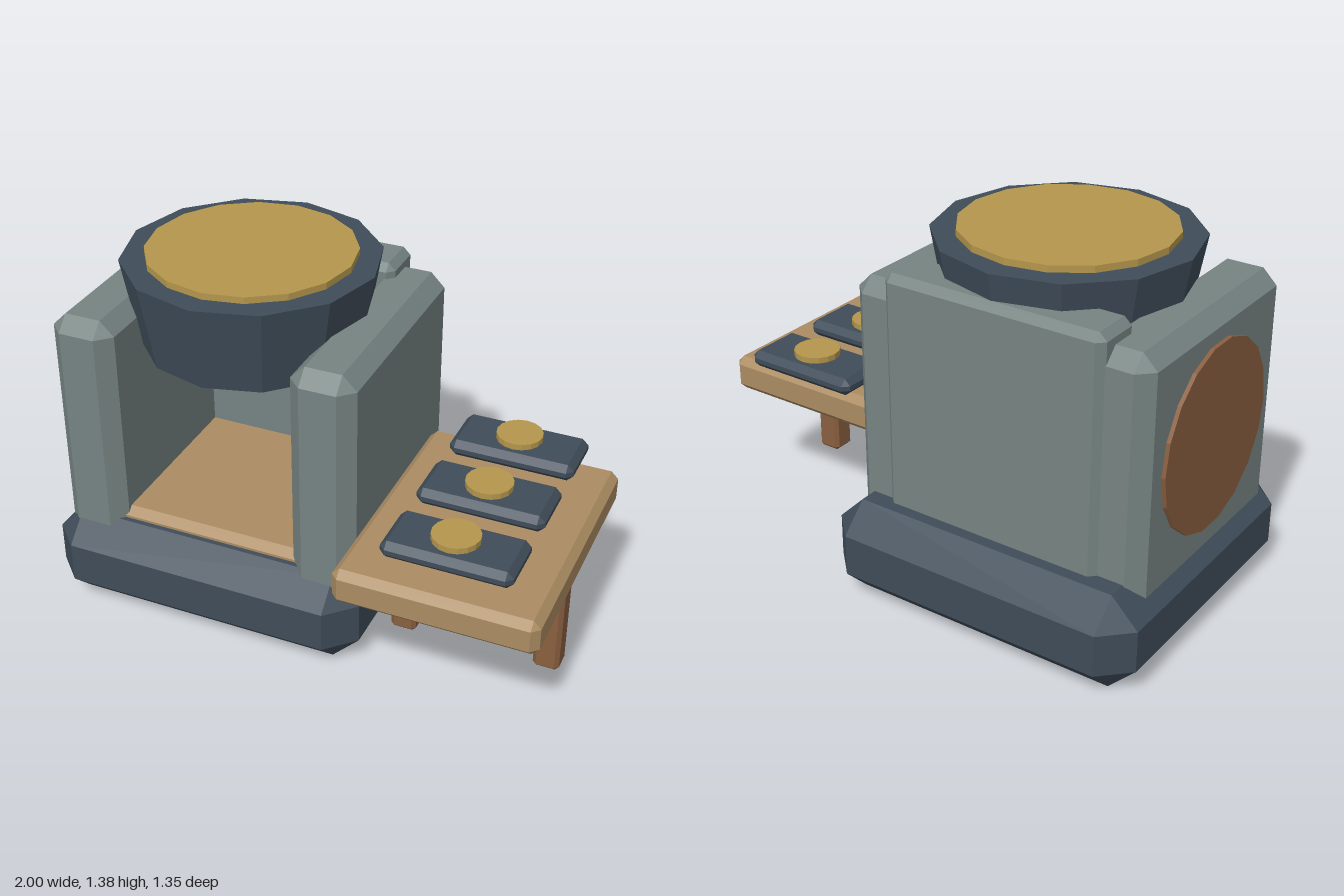
import * as THREE from 'three';
import { ConvexGeometry } from 'three/addons/geometries/ConvexGeometry.js';

const material = (name, color) => {
  const m = new THREE.MeshStandardMaterial({ color, flatShading: true });
  m.name = name;
  return m;
};

// Box between two corners with every edge cut at 45 degrees
function chamferBox([x0, y0, z0], [x1, y1, z1], c) {
  const half = [(x1 - x0) / 2, (y1 - y0) / 2, (z1 - z0) / 2];
  const points = [];
  for (const sx of [-1, 1]) for (const sy of [-1, 1]) for (const sz of [-1, 1]) {
    for (let axis = 0; axis < 3; axis++) {
      const p = half.map((h, i) => (i === axis ? h : h - c));
      points.push(new THREE.Vector3(p[0] * sx, p[1] * sy, p[2] * sz));
    }
  }
  return new ConvexGeometry(points).translate((x0 + x1) / 2, (y0 + y1) / 2, (z0 + z1) / 2);
}

// Upright round part between two heights
function drum(x, z, y0, y1, rTop, rBottom, sides) {
  return new THREE.CylinderGeometry(rTop, rBottom, y1 - y0, sides).translate(x, (y0 + y1) / 2, z);
}

export function createModel() {
  const navy = material('navy', 0x3f4c59);
  const slate = material('slate', 0x768482);
  const wood = material('wood', 0xab8c62);
  const brown = material('brown', 0x8a5f40);
  const gold = material('gold', 0xb4964c);

  const model = new THREE.Group();
  model.name = 'hearthAndTable';
  const add = (name, geometry, mat, parent = model) => {
    const mesh = new THREE.Mesh(geometry, mat);
    mesh.name = name;
    parent.add(mesh);
    return mesh;
  };

  // Housing: plinth, three walls and the floor between them
  const housing = new THREE.Group();
  housing.name = 'housing';
  model.add(housing);
  add('plinth', chamferBox([-1, 0, -0.675], [0.26, 0.37, 0.52], 0.105), navy, housing);
  add('rightWall', chamferBox([-0.955, 0.18, -0.5], [-0.705, 1.205, 0.44], 0.055), slate, housing);
  add('leftWall', chamferBox([-0.015, 0.18, -0.5], [0.235, 1.205, 0.44], 0.055), slate, housing);
  add('backWall', chamferBox([-0.8, 0.2, -0.525], [0.075, 1.26, -0.32], 0.028), slate, housing);
  add('floor', chamferBox([-0.76, 0.33, -0.35], [0.04, 0.41, 0.395], 0.03), wood, housing);

  // Round panel on the outer side wall
  const panel = new THREE.CylinderGeometry(0.355, 0.355, 0.03, 18).rotateZ(Math.PI / 2);
  add('sidePanel', panel.translate(-0.955, 0.745, -0.03), brown, housing);

  // Tapered bowl with its gold lid
  add('bowl', drum(-0.36, -0.035, 1.025, 1.36, 0.48, 0.42, 12), navy);
  add('bowlLid', drum(-0.36, -0.035, 1.34, 1.385, 0.39, 0.39, 16), gold);

  // Side table on two legs
  const table = new THREE.Group();
  table.name = 'sideTable';
  model.add(table);
  add('tableTop', chamferBox([0.255, 0.47, -0.325], [1, 0.61, 0.675], 0.028), wood, table);
  for (const x of [0.35, 0.912]) {
    add('tableLeg', chamferBox([x - 0.05, 0.025, 0.105], [x + 0.05, 0.5, 0.205], 0.015), brown, table);
  }

  // Three trays, each with a gold disc
  for (const z of [0.44, 0.095, -0.25]) {
    add('tray', chamferBox([0.385, 0.623, z - 0.12], [0.865, 0.69, z + 0.12], 0.024), navy, table);
    add('trayDisc', drum(0.625, z, 0.697, 0.72, 0.088, 0.088, 16), gold, table);
  }

  return model;
}
